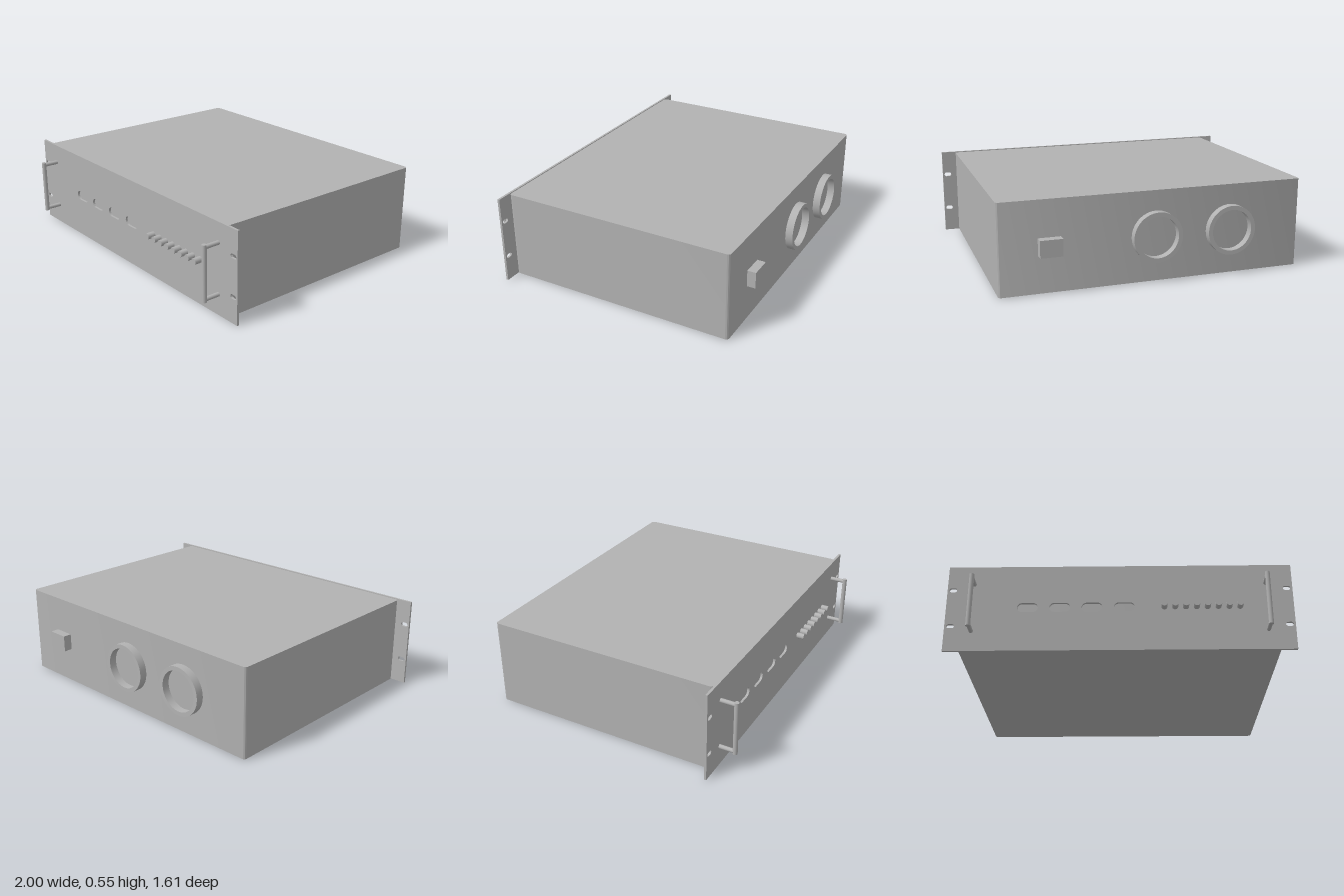
import * as THREE from 'three';
import { toCreasedNormals } from 'three/addons/utils/BufferGeometryUtils.js';

// Rounded rectangle centred on (x, y), drawn on a Shape or Path
function roundedRect(target, x, y, w, h, r) {
  const a = w / 2 - r, b = h / 2 - r;
  target.absarc(x + a, y + b, r, 0, Math.PI / 2);
  target.absarc(x - a, y + b, r, Math.PI / 2, Math.PI);
  target.absarc(x - a, y - b, r, Math.PI, Math.PI * 1.5);
  target.absarc(x + a, y - b, r, Math.PI * 1.5, Math.PI * 2);
  target.closePath();
  return target;
}

function extrude(shape, depth) {
  const geo = new THREE.ExtrudeGeometry(shape, { depth, bevelEnabled: false, curveSegments: 10 });
  return toCreasedNormals(geo, 0.6);
}

export function createModel() {
  const model = new THREE.Group();
  const metal = new THREE.MeshStandardMaterial({ name: 'greyMetal', color: 0xb2b2b2 });
  const add = (name, geo, x, y, z, parent = model) => {
    const mesh = new THREE.Mesh(geo, metal);
    mesh.name = name;
    mesh.position.set(x, y, z);
    parent.add(mesh);
    return mesh;
  };

  const H = 0.545, midY = 0.274;
  const front = 0.696, panelBack = 0.682, back = -0.753;

  // Case with rounded vertical edges
  const plan = roundedRect(new THREE.Shape(), 0, 0, 1.82, panelBack - back, 0.018);
  const caseGeo = extrude(plan, H - 0.01).rotateX(-Math.PI / 2);
  add('case', caseGeo, 0, 0.005, (panelBack + back) / 2);

  // Front panel with mounting slots and display openings
  const panel = new THREE.Shape();
  panel.moveTo(-1, 0).lineTo(1, 0).lineTo(1, H).lineTo(-1, H).closePath();
  for (const x of [-0.967, 0.967])
    for (const y of [0.157, 0.391])
      panel.holes.push(roundedRect(new THREE.Path(), x, y, 0.045, 0.026, 0.0129));
  for (let i = 0; i < 4; i++)
    panel.holes.push(roundedRect(new THREE.Path(), -0.53 + i * 0.186, midY, 0.12, 0.058, 0.0289));
  add('frontPanel', extrude(panel, front - panelBack), 0, 0, panelBack);

  // Row of push buttons
  const buttonGeo = new THREE.CylinderGeometry(0.0185, 0.0185, 0.048, 24).rotateX(Math.PI / 2);
  for (let i = 0; i < 8; i++)
    add('button', buttonGeo, 0.257 + i * 0.062, midY, front + 0.023);

  // Pull handles: a round bar on two posts
  const barGeo = new THREE.CylinderGeometry(0.014, 0.014, 0.332, 24);
  const postGeo = new THREE.CylinderGeometry(0.0125, 0.0125, 0.096, 24).rotateX(Math.PI / 2);
  for (const x of [-0.845, 0.845]) {
    const handle = new THREE.Group();
    handle.name = 'handle';
    add('handleBar', barGeo, 0, 0.276, 0.791, handle);
    for (const y of [0.125, 0.427]) add('handlePost', postGeo, 0, y, 0.743, handle);
    handle.position.x = x;
    model.add(handle);
  }

  // Rear fan rings
  const profile = [[0.122, 0], [0.147, 0], [0.147, 0.046], [0.122, 0.046], [0.122, 0]]
    .map(([r, y]) => new THREE.Vector2(r, y));
  const ringGeo = toCreasedNormals(new THREE.LatheGeometry(profile, 48), 0.6).rotateX(-Math.PI / 2);
  for (const x of [-0.457, -0.002]) add('fanRing', ringGeo, x, midY, back);

  // Rear power socket
  add('powerSocket', new THREE.BoxGeometry(0.13, 0.1, 0.054), 0.62, midY, back - 0.025);

  return model;
}
